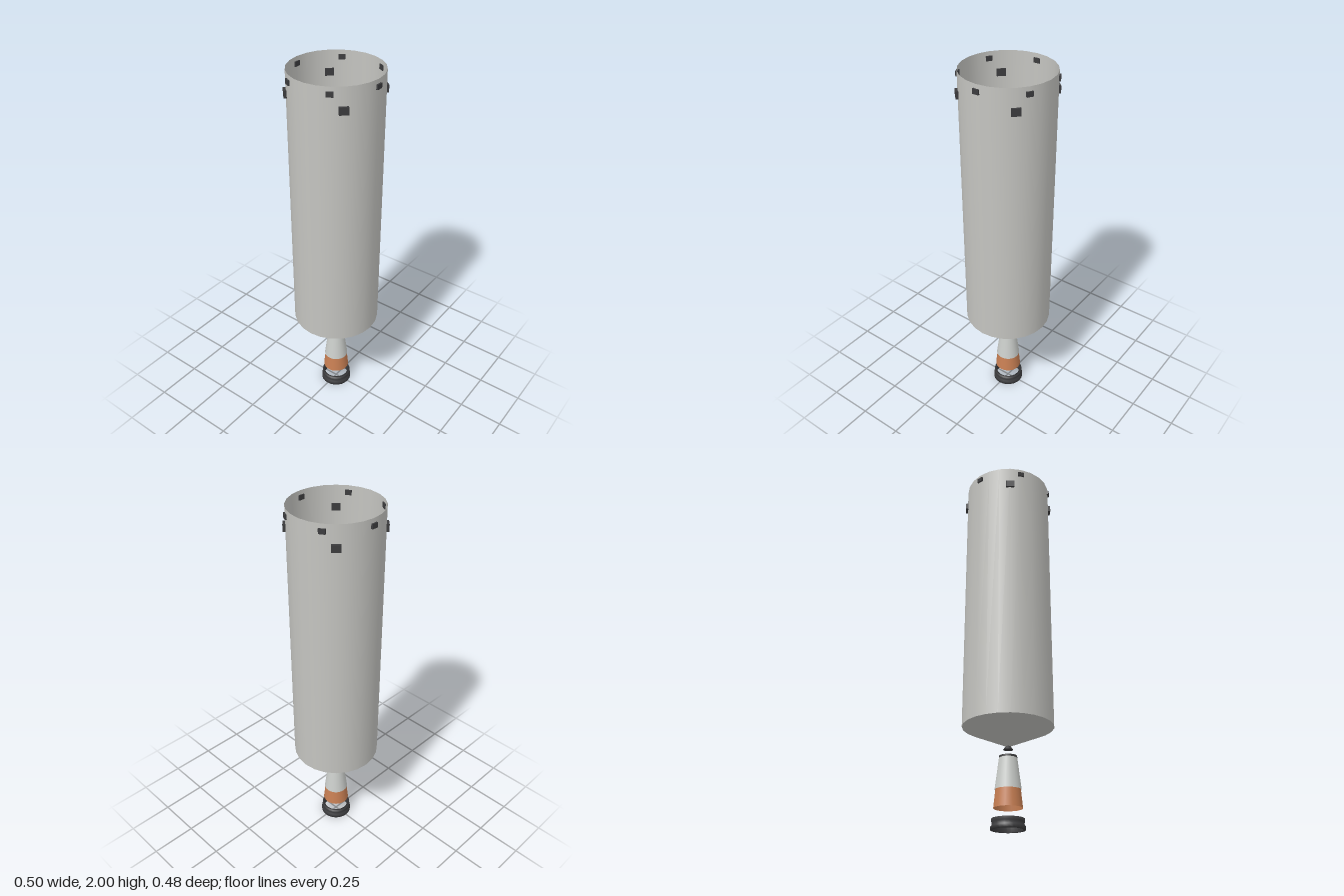
import * as THREE from 'three';

const mat = (name, color, side = THREE.FrontSide) => {
  const m = new THREE.MeshStandardMaterial({ color, side });
  m.name = name;
  return m;
};

export function createModel() {
  const model = new THREE.Group();
  model.name = 'rocketStage';
  const hull = mat('hullGrey', 0xc4c4c0, THREE.DoubleSide);
  const steel = mat('nozzleSteel', 0xcccfcc, THREE.DoubleSide);
  const copper = mat('copper', 0xc87f53, THREE.DoubleSide);
  const dark = mat('darkMetal', 0x3c3c3e, THREE.DoubleSide);

  // Upright tapered tube between two heights
  const tube = (name, rTop, rBottom, y0, y1, material, open = true, sides = 24) => {
    const mesh = new THREE.Mesh(
      new THREE.CylinderGeometry(rTop, rBottom, y1 - y0, sides, 1, open), material);
    mesh.position.y = (y0 + y1) / 2;
    mesh.name = name;
    model.add(mesh);
  };

  // Box tangent to the hull at a given angle
  const block = (name, angle, y, size, radius) => {
    const mesh = new THREE.Mesh(new THREE.BoxGeometry(...size), dark);
    mesh.position.set(Math.cos(angle) * radius, y, Math.sin(angle) * radius);
    mesh.rotation.y = -angle;
    mesh.name = name;
    model.add(mesh);
  };

  // Open-topped hull with conical bottom
  tube('hull', 0.24, 0.24, 0.52, 2, hull);
  tube('hullCone', 0.24, 0.012, 0.42, 0.52, hull);
  tube('coneOutlet', 0.012, 0.026, 0.402, 0.42, dark, false, 16);

  // Engine, separated below the hull
  tube('engineCap', 0.046, 0.047, 0.357, 0.369, dark, false);
  tube('upperNozzle', 0.047, 0.068, 0.197, 0.358, steel);
  tube('lowerNozzle', 0.064, 0.074, 0.105, 0.199, copper);

  // Loose ring below the nozzle
  const profile = [
    [0.076, 0], [0.088, 0], [0.088, 0.016], [0.082, 0.022], [0.080, 0.034],
    [0.083, 0.038], [0.083, 0.054], [0.070, 0.054], [0.076, 0],
  ].map(([r, y]) => new THREE.Vector2(r, y));
  const ring = new THREE.Mesh(new THREE.LatheGeometry(profile, 24), dark);
  ring.name = 'nozzleRing';
  model.add(ring);

  // Six small connectors at the rim and four larger ones below
  for (let i = 0; i < 6; i++) {
    block('rimConnector', i * Math.PI / 3, 1.965, [0.015, 0.025, 0.034], 0.24);
  }
  for (let i = 0; i < 4; i++) {
    block('sideBlock', Math.PI / 4 + i * Math.PI / 2, 1.888, [0.019, 0.038, 0.046], 0.242);
  }
  return model;
}
